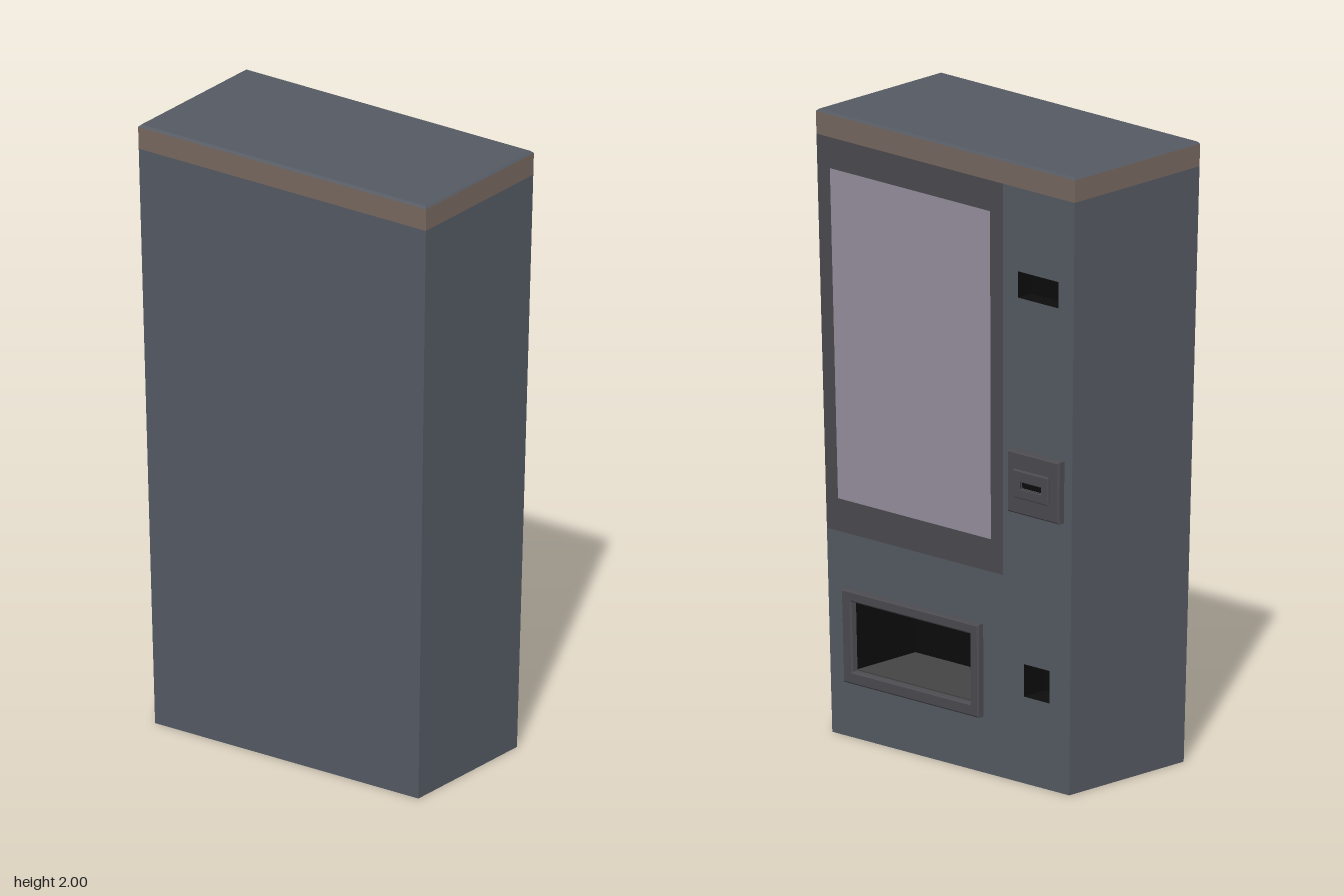
import * as THREE from 'three';

const HX = 0.28, HZ = 0.553, BAND_Y = 1.92;   // half depth, half width, foot of the top band
const mat = (color, side = THREE.FrontSide) =>
  new THREE.MeshStandardMaterial({ color, side, flatShading: true });

// The whole cabinet narrows evenly toward the floor
function taper(geometry) {
  const g = geometry.index ? geometry.toNonIndexed() : geometry;
  const p = g.attributes.position;
  for (let i = 0; i < p.count; i++) {
    const s = 0.914 + 0.043 * p.getY(i);
    p.setXYZ(i, p.getX(i) * s - 0.012, p.getY(i), p.getZ(i) * s);
  }
  g.computeVertexNormals();
  return g;
}

// Rectangles on the display side are [u0, y0, u1, y1], where u = -z
function corners([u0, y0, u1, y1]) {
  return [[u0, y0], [u1, y0], [u1, y1], [u0, y1]].map(c => new THREE.Vector2(...c));
}
function shapeOf(points, holes = []) {
  const shape = new THREE.Shape(points);
  for (const h of holes) shape.holes.push(new THREE.Path(corners(h).reverse()));
  return shape;
}

// Box without its +x wall
function openBox(x0, x1, [u0, y0, u1, y1]) {
  const g = new THREE.BoxGeometry(x1 - x0, y1 - y0, u1 - u0);
  g.setIndex(Array.from(g.index.array).slice(6));
  return g.translate((x0 + x1) / 2, (y0 + y1) / 2, -(u0 + u1) / 2);
}

export function createModel() {
  const group = new THREE.Group();
  const slate = mat(0x555a63), brown = mat(0x776860), trim = mat(0x4c4b50);
  const glass = mat(0x96909e), dark = mat(0x0c0c0c, THREE.BackSide), floorMat = mat(0x444444);

  const add = (name, geometry, material) => {
    const mesh = new THREE.Mesh(taper(geometry), material);
    mesh.name = name;
    group.add(mesh);
  };
  const flat = (name, shape, x, material) =>
    add(name, new THREE.ShapeGeometry(shape).rotateY(Math.PI / 2).translate(x, 0, 0), material);
  const raised = (name, shape, x, depth, material, b = 0.005) =>
    add(name, new THREE.ExtrudeGeometry(shape, {
      depth: depth - b, bevelEnabled: true, bevelThickness: b, bevelSize: b, bevelOffset: -b, bevelSegments: 1,
    }).rotateY(Math.PI / 2).translate(x, 0, 0), material);
  const recess = (name, rect, x, depth) => add(name, openBox(x - depth, x, rect), dark);

  // Openings and panels on the display side
  const tray = [-0.428, 0.22, 0.116, 0.445];
  const billSlot = [0.31, 1.565, 0.487, 1.65];
  const coinReturn = [0.34, 0.28, 0.458, 0.385];
  const coinSlot = [0.357, 0.963, 0.446, 0.983];
  const windowRect = [-0.499, 0.76, 0.19, 1.82];
  const surround = [-HZ, 0.655, 0.245, BAND_Y];

  // Cabinet shell and display-side wall
  add('cabinet', openBox(-HX, HX, [-HZ, 0, HZ, BAND_Y]), slate);
  const outline = [[-HZ, 0], [HZ, 0], [HZ, BAND_Y], [0.245, BAND_Y], [0.245, 0.655], [-HZ, 0.655]]
    .map(c => new THREE.Vector2(...c));
  flat('displayWall', shapeOf(outline, [tray, billSlot, coinReturn]), HX, slate);
  flat('windowSurround', shapeOf(corners(surround), [windowRect]), HX, trim);
  flat('window', shapeOf(corners(windowRect)), HX, glass);

  // Coloured band and bevelled lid
  const bevel = 0.007, bandH = 2 - BAND_Y - bevel;
  add('topBand', new THREE.BoxGeometry(2 * HX, bandH, 2 * HZ).translate(0, BAND_Y + bandH / 2, 0), brown);
  const lid = new THREE.BoxGeometry(2 * HX, bevel, 2 * HZ).translate(0, 2 - bevel / 2, 0);
  const lp = lid.attributes.position;
  for (let i = 0; i < lp.count; i++) {
    if (lp.getY(i) < 1.999) continue;
    lp.setX(i, lp.getX(i) - Math.sign(lp.getX(i)) * bevel);
    lp.setZ(i, lp.getZ(i) - Math.sign(lp.getZ(i)) * bevel);
  }
  add('lid', lid, slate);

  // Delivery tray
  raised('trayFrame', shapeOf(corners([-0.471, 0.18, 0.154, 0.48]), [tray]), HX, 0.026, trim);
  recess('trayRecess', tray, HX, 0.28);
  add('trayFloor', new THREE.BoxGeometry(0.28, 0.004, tray[2] - tray[0])
    .translate(HX - 0.14, tray[1] + 0.002, -(tray[0] + tray[2]) / 2), floorMat);

  // Bill slot and coin return
  recess('billSlot', billSlot, HX, 0.06);
  recess('coinReturn', coinReturn, HX, 0.1);

  // Coin panel: stepped plate with a slot
  raised('coinPanel', shapeOf(corners([0.288, 0.875, 0.518, 1.075])), HX, 0.026, trim);
  raised('coinPlate', shapeOf(corners([0.324, 0.93, 0.48, 1.02]), [coinSlot]), HX + 0.026, 0.011, trim, 0.003);
  recess('coinSlot', coinSlot, HX + 0.036, 0.0095);

  return group;
}
